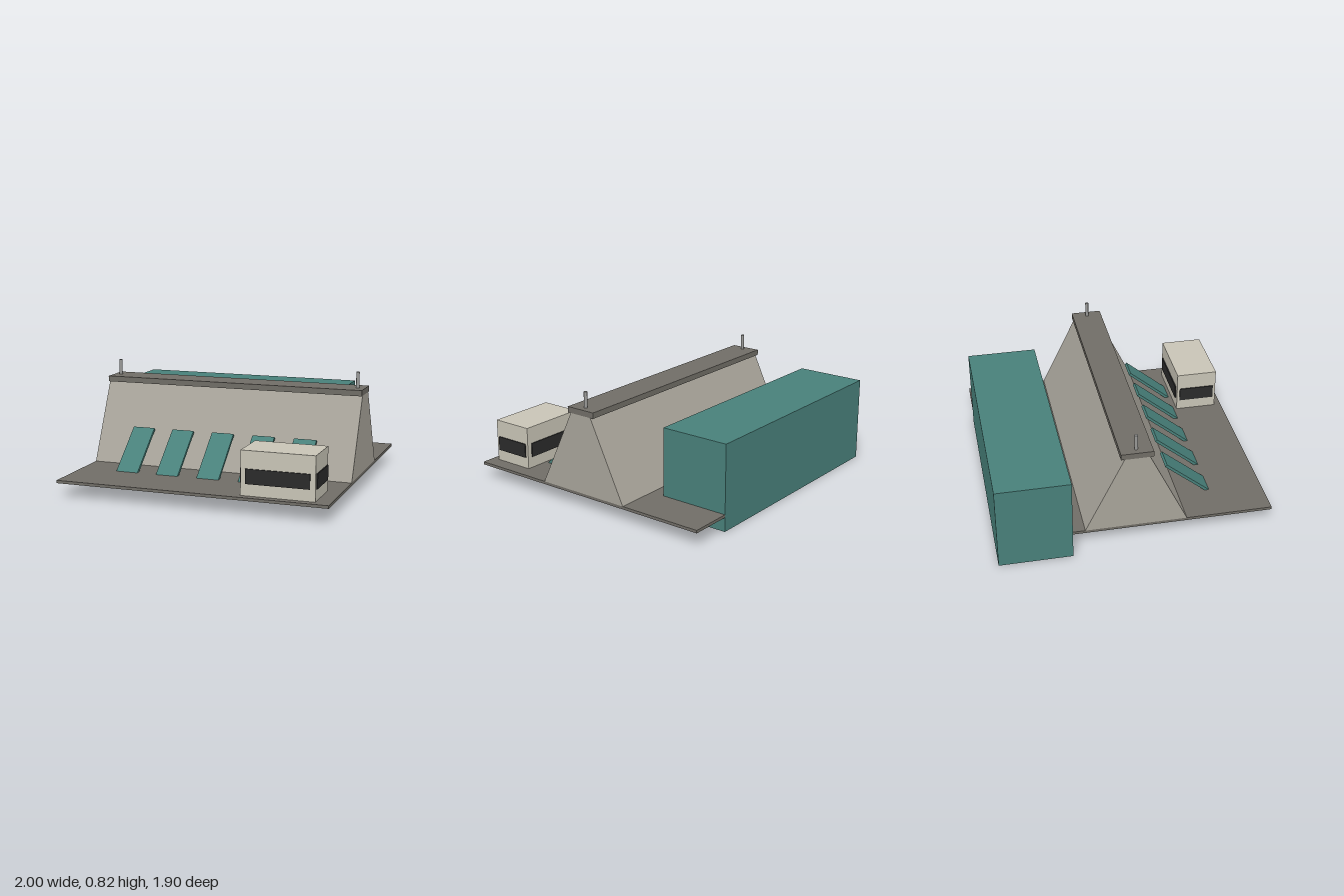
import * as THREE from 'three';

const mat = (name, color, extra = {}) => {
  const m = new THREE.MeshStandardMaterial({ color, ...extra });
  m.name = name;
  return m;
};

export function createModel() {
  const model = new THREE.Group();
  model.name = 'dam';
  const concrete = mat('concrete', 0xa8a49a);
  const stone = mat('dark stone', 0x706d66);
  const water = mat('water teal', 0x48807a);
  const wall = mat('wall cream', 0xc8c4b6);
  const glass = mat('dark glass', 0x2a2a2a);
  const metal = mat('post grey', 0x9a9a98);

  const add = (name, geometry, material, x, y, z, parent = model) => {
    const mesh = new THREE.Mesh(geometry, material);
    mesh.name = name;
    mesh.position.set(x, y, z);
    parent.add(mesh);
    return mesh;
  };
  const box = (w, h, d) => new THREE.BoxGeometry(w, h, d);

  // Ground slab, its rear edge just inside the reservoir's back face
  add('groundSlab', box(1.9, 0.02, 1.899), stone, 0.05, 0.11, 0.0005);

  // Reservoir block
  add('reservoir', box(1.7, 0.6, 0.5), water, -0.15, 0.3, -0.7);

  // Dam wall: trapezoid section extruded along x
  const section = new THREE.Shape([
    new THREE.Vector2(-0.35, 0.12), new THREE.Vector2(0.35, 0.12),
    new THREE.Vector2(0.085, 0.67), new THREE.Vector2(-0.085, 0.67),
  ]);
  const damGeometry = new THREE.ExtrudeGeometry(section, { depth: 1.9, bevelEnabled: false });
  damGeometry.rotateY(Math.PI / 2);
  add('damWall', damGeometry, concrete, -0.9, 0, 0);

  // Crest road with a post near each end
  add('crest', box(1.9, 0.04, 0.22), stone, 0.05, 0.69, 0);
  for (const x of [-0.85, 0.945]) {
    add('crestPost', new THREE.CylinderGeometry(0.012, 0.012, 0.11, 8), metal, x, 0.765, 0);
  }

  // Spillway chutes passing down through the slab
  for (let i = 0; i < 5; i++) {
    const chute = add('spillwayChute', box(0.16, 0.02, 0.5), water, -0.55 + i * 0.3, 0.21, 0.455);
    chute.rotation.x = 0.7;
  }

  // Powerhouse with a window band on every side
  const house = new THREE.Group();
  house.name = 'powerhouse';
  house.position.set(0.65, 0.27, 0.75);
  model.add(house);
  add('powerhouseWalls', box(0.5, 0.3, 0.3), wall, 0, 0, 0, house);
  for (const s of [-1, 1]) {
    add('longWindow', box(0.43, 0.1, 0.008), glass, 0, -0.02, s * 0.154, house);
    add('sideWindow', box(0.008, 0.1, 0.26), glass, s * 0.254, -0.02, 0, house);
  }

  return model;
}
